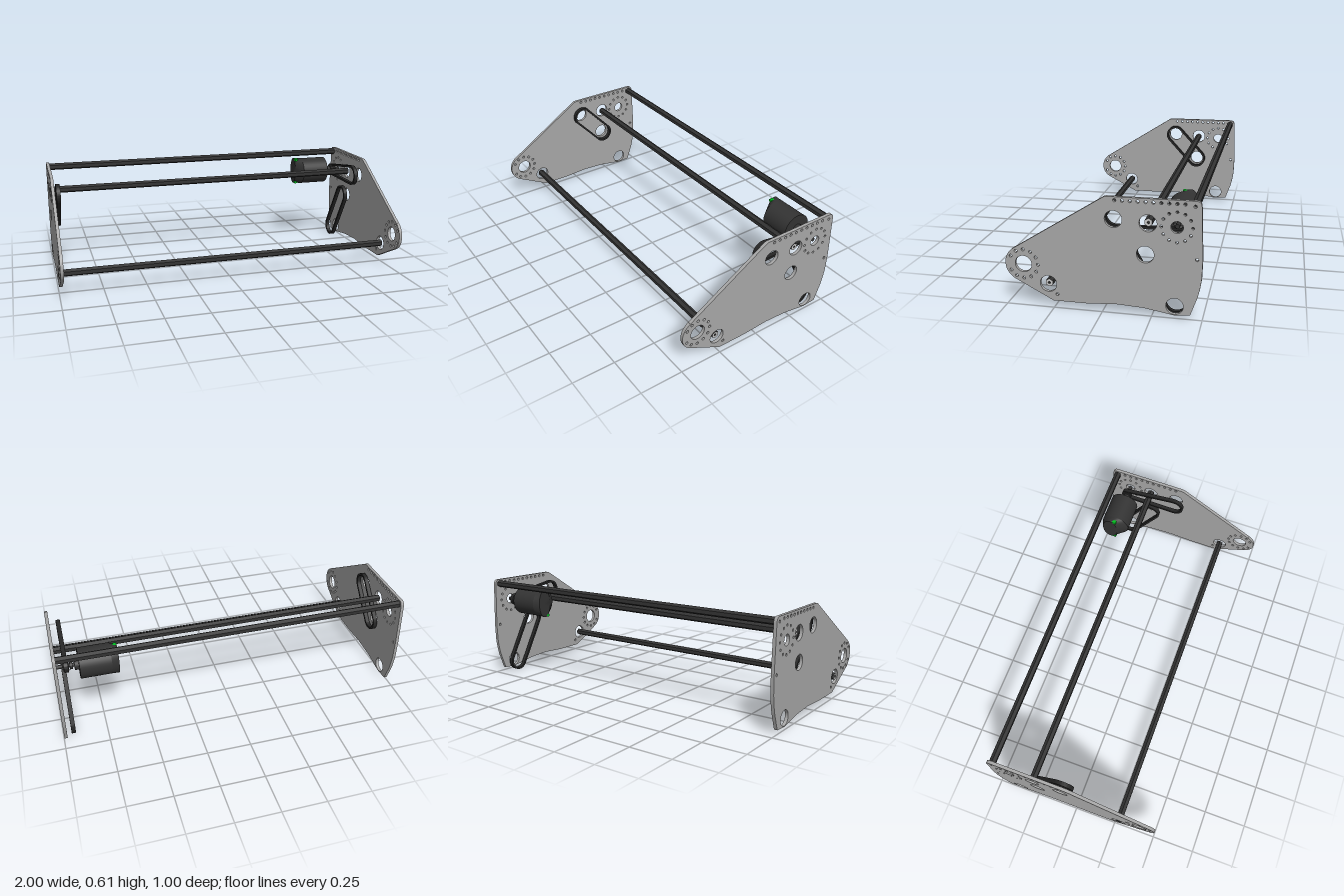
import * as THREE from 'three';
import { toCreasedNormals } from 'three/addons/utils/BufferGeometryUtils.js';

const mat = (color, side = THREE.FrontSide) => new THREE.MeshStandardMaterial({ color, side });
const plateGrey = mat(0xa8a8a8), dark = mat(0x333333), black = mat(0x262626), light = mat(0xcccccc), green = mat(0x00c020);

// Profiles are drawn in (u, y) with u = -z, then extruded along +x from x0 to x1
function extrudeX(name, shape, x0, x1, material) {
  const g = new THREE.ExtrudeGeometry(shape, { depth: x1 - x0, bevelEnabled: false, curveSegments: 24 });
  g.rotateY(Math.PI / 2).translate(x0, 0, 0);
  const m = new THREE.Mesh(toCreasedNormals(g, 0.6), material);
  m.name = name;
  return m;
}

function cylX(name, r, x0, x1, u, y, material, sides = 32) {
  const g = new THREE.CylinderGeometry(r, r, x1 - x0, sides).rotateZ(-Math.PI / 2);
  const m = new THREE.Mesh(g, material);
  m.position.set((x0 + x1) / 2, y, -u);
  m.name = name;
  return m;
}

const circle = (u, y, r) => new THREE.Path().absarc(u, y, r, 0, Math.PI * 2, false);

// Shared axle positions (u, y)
const FRONT = [-0.405, 0.225], LOW_ROD = [-0.277, 0.128], UPPER = [0.06, 0.493];
const MID_ROD = [0.23, 0.483], MIDDLE = [0.217, 0.323], BOTTOM = [0.363, 0.064];
const MOTOR = [0.37, 0.472], TOP_ROD = [0.455, 0.58];

function plateShape() {
  const s = new THREE.Shape();
  s.moveTo(-0.253, 0.038);
  s.lineTo(-0.08, 0.038);
  s.quadraticCurveTo(-0.01, 0.042, 0.07, 0.048);
  s.lineTo(0.21, 0.041);
  s.lineTo(0.36, 0.016);
  s.lineTo(0.44, 0.022);
  s.lineTo(0.475, 0.12);
  s.quadraticCurveTo(0.488, 0.17, 0.493, 0.22);
  s.lineTo(0.496, 0.32);
  s.lineTo(0.486, 0.58);
  s.quadraticCurveTo(0.484, 0.607, 0.458, 0.607);
  s.lineTo(0.03, 0.605);
  s.quadraticCurveTo(0.018, 0.605, 0.008, 0.598);
  s.lineTo(-0.454, 0.306);
  s.absarc(FRONT[0], FRONT[1], 0.095, 2.12, 4.2, false);
  s.closePath();
  // large bearing holes
  for (const c of [FRONT, LOW_ROD, UPPER, MID_ROD, MIDDLE, BOTTOM]) s.holes.push(circle(...c, 0.043));
  // bolt circles
  for (let i = 0; i < 12; i++) {
    const a = i * Math.PI / 6, du = 0.076 * Math.cos(a), dy = 0.076 * Math.sin(a);
    if (i !== 6) s.holes.push(circle(FRONT[0] + du, FRONT[1] + dy, 0.008));
    s.holes.push(circle(MOTOR[0] + du, MOTOR[1] + dy, 0.007));
  }
  s.holes.push(circle(...MOTOR, 0.03));
  // row along the top edge
  for (let i = 0; i < 10; i++) s.holes.push(circle(0.067 + i * 0.0378, 0.588, 0.008));
  for (const c of [TOP_ROD, [0.468, 0.315], [-0.232, 0.074]]) s.holes.push(circle(...c, 0.008));
  return s;
}

// Closed outline around two circles
function loopPath(path, a, b, ra, rb) {
  const phi = Math.atan2(b[1] - a[1], b[0] - a[0]);
  const t = Math.acos((ra - rb) / Math.hypot(b[0] - a[0], b[1] - a[1]));
  path.absarc(a[0], a[1], ra, phi + t, phi - t + Math.PI * 2, false);
  path.absarc(b[0], b[1], rb, phi - t, phi + t, false);
  path.closePath();
  return path;
}

function belt(name, a, b, ra, rb, x0, x1) {
  const s = loopPath(new THREE.Shape(), a, b, ra, rb);
  s.holes.push(loopPath(new THREE.Path(), a, b, ra - 0.013, rb - 0.013));
  return extrudeX(name, s, x0, x1, black);
}

// Hollow hexagonal rod with pale cut ends
function hexRod(name, [u, y], x0, x1, r = 0.021) {
  const pts = [];
  for (let i = 0; i < 6; i++) {
    const a = (i + 0.5) * Math.PI / 3;
    pts.push(new THREE.Vector2(u + r * Math.cos(a), y + r * Math.sin(a)));
  }
  const s = new THREE.Shape(pts);
  s.holes.push(circle(u, y, 0.0065));
  return extrudeX(name, s, x0, x1, [light, dark]);
}

function buildMotor() {
  const g = new THREE.Group();
  g.name = 'motor';
  const [u, y] = [0.366, 0.474];
  g.add(cylX('motorBody', 0.085, 0.69, 0.862, u, y, dark, 40));
  // rear cap, flattened in depth toward its end
  const cap = new THREE.CylinderGeometry(0.085, 0.085, 0.04, 40).rotateZ(-Math.PI / 2);
  const p = cap.attributes.position;
  for (let i = 0; i < p.count; i++) if (p.getX(i) < 0) p.setZ(i, p.getZ(i) * 0.55 - 0.022);
  cap.computeVertexNormals();
  const capMesh = new THREE.Mesh(toCreasedNormals(cap, 0.6), dark);
  capMesh.position.set(0.67, y, -u);
  capMesh.name = 'motorRearCap';
  g.add(capMesh);
  for (const s of [-1, 1]) {
    const lamp = new THREE.Mesh(new THREE.BoxGeometry(0.02, 0.014, 0.024), green);
    lamp.position.set(0.66, y + s * 0.077, -0.362);
    lamp.name = 'indicatorLight';
    g.add(lamp);
  }
  // output shaft and drive pulley
  g.add(cylX('motorBoss', 0.03, 0.862, 0.885, ...MOTOR, dark));
  g.add(cylX('motorShaft', 0.011, 0.885, 0.985, ...MOTOR, dark, 16));
  g.add(cylX('shaftCollar', 0.022, 0.895, 0.91, ...MOTOR, dark));
  const gear = new THREE.Shape();
  for (let i = 0; i < 48; i++) {
    const a = i * Math.PI / 24, r = i % 4 < 2 ? 0.027 : 0.023;
    gear[i ? 'lineTo' : 'moveTo'](MOTOR[0] + r * Math.cos(a), MOTOR[1] + r * Math.sin(a));
  }
  g.add(extrudeX('drivePulley', gear, 0.915, 0.95, dark));
  for (let i = 0; i < 8; i++) {
    const a = i * Math.PI / 4;
    g.add(cylX('pulleyPin', 0.0025, 0.945, 0.952, MOTOR[0] + 0.017 * Math.cos(a), MOTOR[1] + 0.017 * Math.sin(a), light, 8));
  }
  return g;
}

export function createModel() {
  const model = new THREE.Group();
  model.name = 'rollerFrame';
  // side plates
  const shape = plateShape();
  model.add(extrudeX('leftPlate', shape, 0.98, 0.998, plateGrey));
  model.add(extrudeX('rightPlate', shape, -0.998, -0.98, plateGrey));
  // cross rods
  model.add(hexRod('lowerRod', LOW_ROD, -1, 0.985));
  model.add(hexRod('middleRod', MID_ROD, -0.98, 0.985));
  model.add(hexRod('topRod', TOP_ROD, -0.98, 0.98));
  // belts
  model.add(belt('rightBelt', UPPER, MIDDLE, 0.063, 0.063, -0.968, -0.944));
  model.add(belt('lowerBelt', MIDDLE, BOTTOM, 0.063, 0.063, 0.93, 0.954));
  model.add(belt('driveBelt', UPPER, MOTOR, 0.063, 0.036, 0.919, 0.943));
  model.add(buildMotor());
  return model;
}
